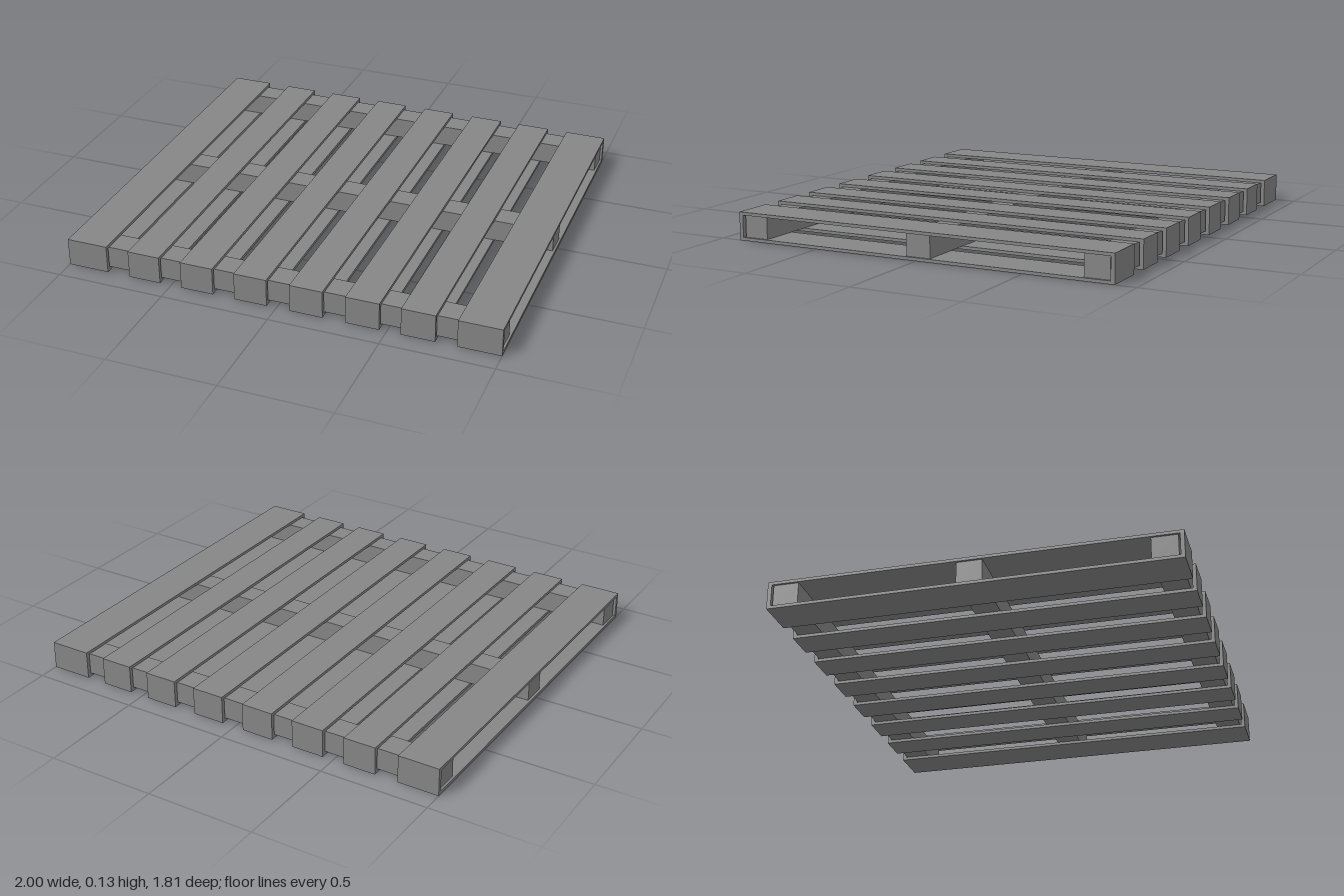
import * as THREE from 'three';

const HEIGHT = 0.128, HALF_DEPTH = 0.905, BOARD = 0.014, CAP = 0.018, BEAM_END = 0.99;

export function createModel() {
  const pallet = new THREE.Group();
  pallet.name = 'pallet';
  const material = new THREE.MeshStandardMaterial({ color: 0x868686, flatShading: true });

  // Box given by its minimum and maximum corners
  function box(parent, name, [x0, y0, z0], [x1, y1, z1]) {
    const mesh = new THREE.Mesh(new THREE.BoxGeometry(x1 - x0, y1 - y0, z1 - z0), material);
    mesh.position.set((x0 + x1) / 2, (y0 + y1) / 2, (z0 + z1) / 2);
    mesh.name = name;
    parent.add(mesh);
  }

  // Slats: each is a closed loop of top board, bottom board and two end caps
  const slats = [
    [-1, -0.81], [-0.703, -0.553], [-0.45, -0.298], [-0.196, -0.045],
    [0.061, 0.212], [0.315, 0.467], [0.562, 0.713], [0.808, 1],
  ];
  slats.forEach(([x0, x1], i) => {
    const slat = new THREE.Group();
    slat.name = `slat${i + 1}`;
    box(slat, 'topBoard', [x0, HEIGHT - BOARD, -HALF_DEPTH], [x1, HEIGHT, HALF_DEPTH]);
    box(slat, 'bottomBoard', [x0, 0, -HALF_DEPTH], [x1, BOARD, HALF_DEPTH]);
    box(slat, 'frontCap', [x0, BOARD, HALF_DEPTH - CAP], [x1, HEIGHT - BOARD, HALF_DEPTH]);
    box(slat, 'backCap', [x0, BOARD, -HALF_DEPTH], [x1, HEIGHT - BOARD, CAP - HALF_DEPTH]);
    pallet.add(slat);
  });

  // Cross beams running through all the slats, set slightly in from the sides
  const beams = { backBeam: [-0.882, -0.768], middleBeam: [-0.062, 0.052], frontBeam: [0.765, 0.879] };
  for (const [name, [z0, z1]] of Object.entries(beams)) {
    box(pallet, name, [-BEAM_END, BOARD, z0], [BEAM_END, HEIGHT - BOARD, z1]);
  }
  return pallet;
}
